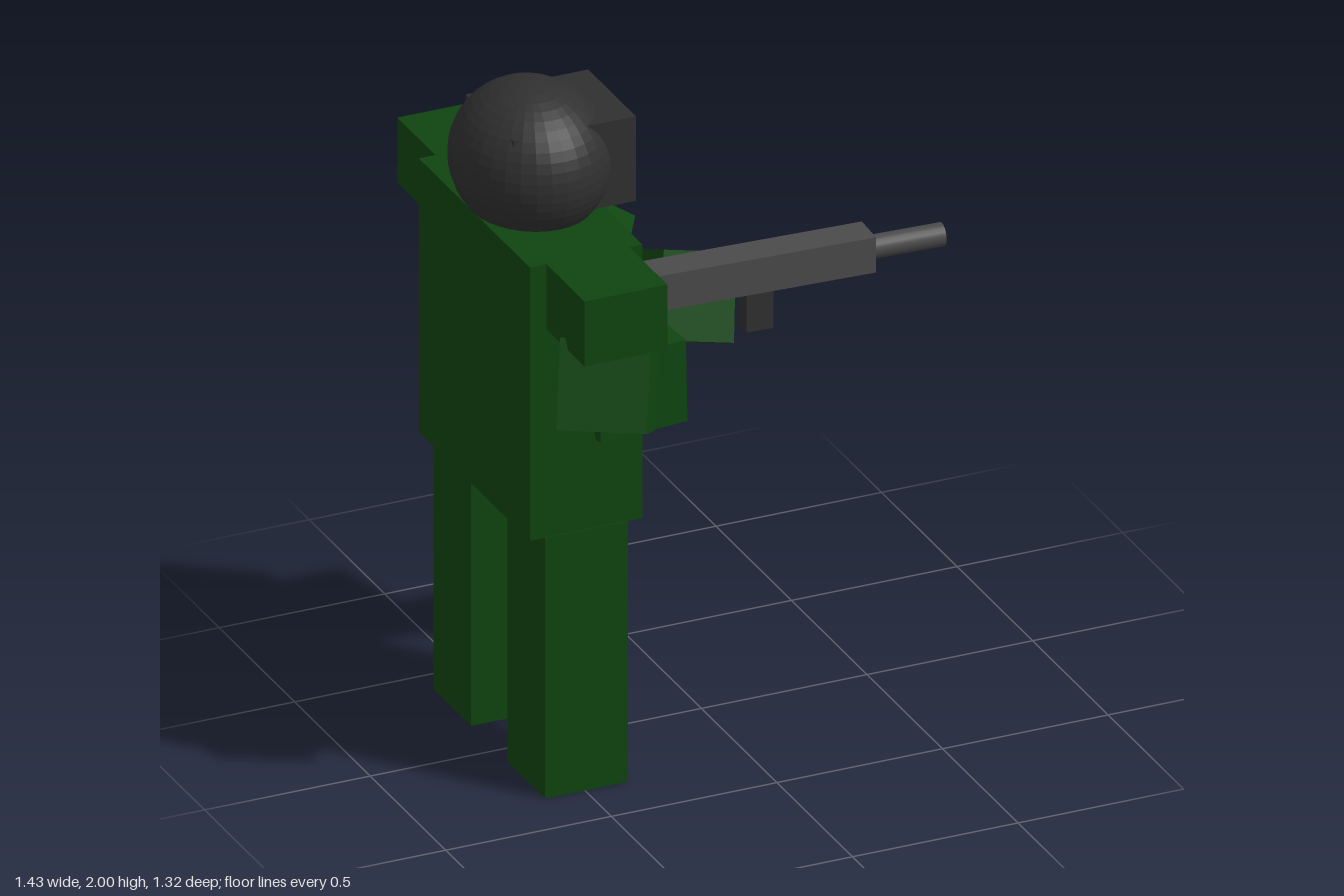
import * as THREE from 'three';

const paint = (name, color, extra = {}) => {
  const m = new THREE.MeshStandardMaterial({ color, ...extra });
  m.name = name;
  return m;
};

export function createModel() {
  const green = paint('uniform green', 0x0f4510);
  const dark = paint('helmet grey', 0x303030, { flatShading: true });
  const steel = paint('gun grey', 0x4a4a4a);
  const red = paint('eye red', 0x8b0a0a);

  const model = new THREE.Group();
  model.name = 'soldier';

  const add = (parent, name, geometry, material, pos, rot = [0, 0, 0], order = 'XYZ') => {
    const mesh = new THREE.Mesh(geometry, material);
    mesh.name = name;
    mesh.position.set(...pos);
    mesh.rotation.set(...rot, order);
    parent.add(mesh);
    return mesh;
  };
  const box = (parent, name, material, size, pos, rot, order) =>
    add(parent, name, new THREE.BoxGeometry(...size), material, pos, rot, order);

  // Body, facing +x, mirrored about z = midZ
  const midZ = -0.045;
  box(model, 'torso', green, [0.34, 0.84, 0.735], [-0.495, 1.22, midZ]);
  for (const [side, s] of [['left', 1], ['right', -1]]) {
    box(model, side + 'Leg', green, [0.25, 0.8, 0.25], [-0.495, 0.4, midZ + s * 0.245]);
    box(model, side + 'Shoulder', green, [0.25, 0.2, 0.255], [-0.49, 1.54, midZ + s * 0.4925]);
  }

  // Arms bent around the gun
  box(model, 'leftUpperArm', green, [0.255, 0.255, 0.25],
    [-0.4875, 1.3025, 0.448], [0, Math.PI / 3, -0.42], 'YZX');
  box(model, 'leftForearm', green, [0.27, 0.25, 0.25],
    [-0.342, 1.202, 0.224], [0, 0.06, 0.02], 'YZX');
  box(model, 'rightUpperArm', green, [0.36, 0.26, 0.25],
    [-0.2825, 1.3125, -0.372], [0, -Math.PI / 6, -0.45], 'YZX');
  box(model, 'rightForearm', green, [0.25, 0.25, 0.31],
    [-0.02, 1.18, -0.2], [-0.36, 0.28, -0.32], 'YXZ');

  // Head with boxy mask and red eyes
  const head = add(model, 'head', new THREE.SphereGeometry(1, 32, 24), dark, [-0.495, 1.78, -0.05]);
  head.scale.set(0.222, 0.222, 0.252);
  box(model, 'mask', dark, [0.37, 0.26, 0.315], [-0.432, 1.79, -0.05]);
  for (const z of [0.035, -0.117]) {
    add(model, 'eye', new THREE.CylinderGeometry(0.028, 0.028, 0.02, 20), red,
      [-0.246, 1.81, z], [0, 0, -Math.PI / 2]);
  }

  // Gun, turned slightly towards the left
  const gun = new THREE.Group();
  gun.name = 'gun';
  gun.position.set(0.11, 1.325, 0.005);
  gun.rotation.y = -0.045;
  model.add(gun);
  box(gun, 'gunBody', steel, [0.772, 0.108, 0.105], [0, 0, 0]);
  add(gun, 'barrel', new THREE.CylinderGeometry(0.034, 0.034, 0.23, 20), steel,
    [0.487, 0, 0.002], [0, 0, -Math.PI / 2]);
  box(gun, 'rearGrip', dark, [0.08, 0.16, 0.06], [-0.345, -0.13, 0.008]);
  box(gun, 'frontGrip', dark, [0.08, 0.125, 0.06], [0.05, -0.115, 0.004]);

  return model;
}
